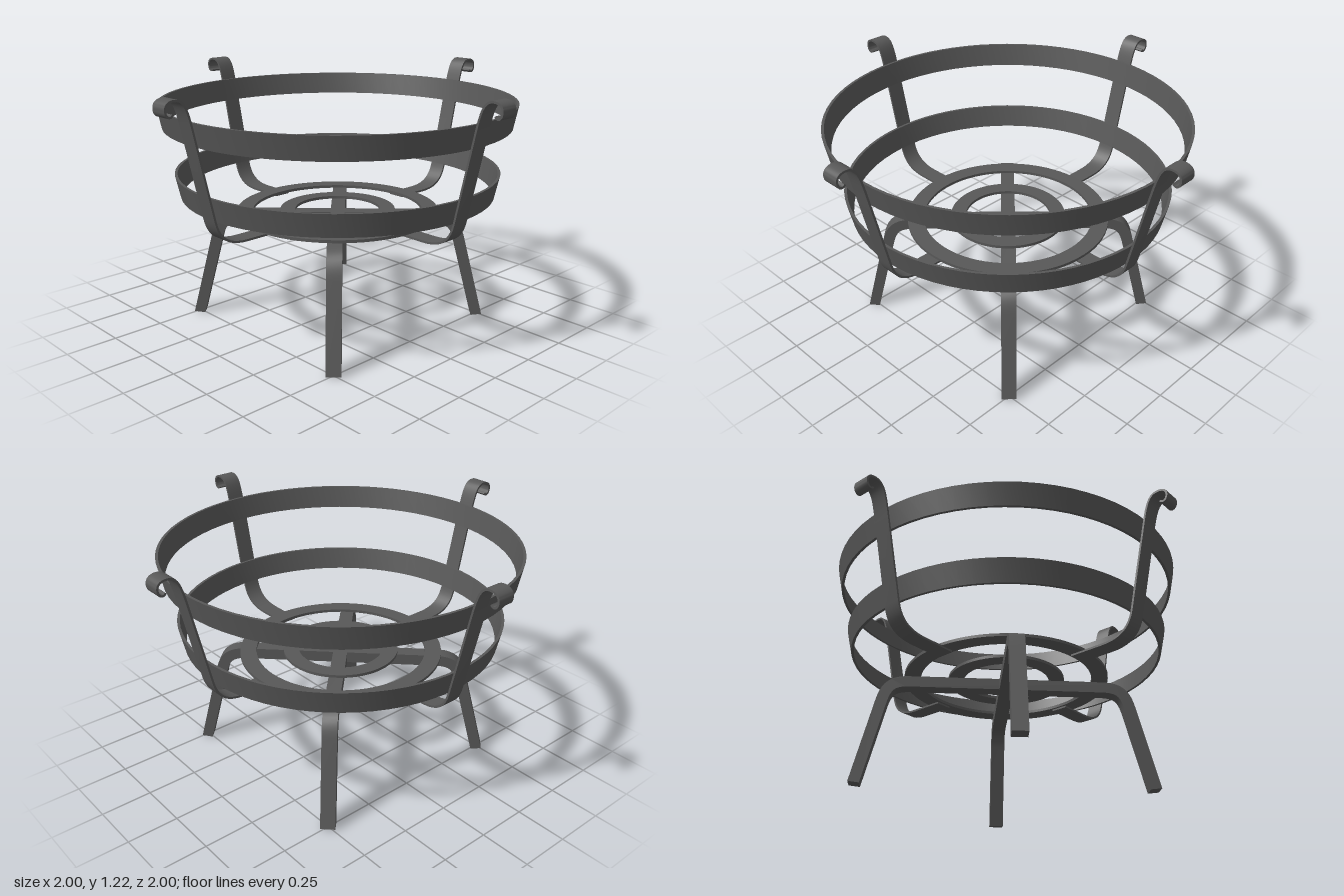
import * as THREE from 'three';
import { toCreasedNormals } from 'three/addons/utils/BufferGeometryUtils.js';

// Flat bar of given thickness and width following a path in the XY plane
function bentBar(path, thickness, width) {
  const pts = path.getPoints(10);
  const outer = [], inner = [];
  pts.forEach((p, i) => {
    const a = pts[Math.max(i - 1, 0)], b = pts[Math.min(i + 1, pts.length - 1)];
    const t = b.clone().sub(a).normalize();
    const n = new THREE.Vector2(-t.y, t.x).multiplyScalar(thickness / 2);
    outer.push(p.clone().add(n));
    inner.push(p.clone().sub(n));
  });
  const outline = [...outer, ...inner.reverse()];
  outline.forEach((p) => { p.y = Math.max(p.y, 0); }); // feet cut level with the ground
  const geo = new THREE.ExtrudeGeometry(new THREE.Shape(outline), { depth: width, bevelEnabled: false });
  geo.translate(0, 0, -width / 2);
  return toCreasedNormals(geo, 0.6);
}

// Closed four-cornered profile turned around the y axis
function ring(r0, y0, r1, y1, thickness) {
  const profile = [
    [r0, y0], [r1, y1], [r1 - thickness, y1], [r0 - thickness, y0], [r0, y0],
  ].map(([x, y]) => new THREE.Vector2(x, y));
  return toCreasedNormals(new THREE.LatheGeometry(profile, 72), 0.6);
}

export function createModel() {
  const group = new THREE.Group();
  const iron = new THREE.MeshStandardMaterial({ color: 0x585858 });
  iron.name = 'dark iron';

  const add = (name, geo, angle = 0) => {
    const mesh = new THREE.Mesh(geo, iron);
    mesh.name = name;
    mesh.rotation.y = angle;
    group.add(mesh);
  };

  // Two crossed arches form the four legs
  const legPath = new THREE.Path();
  legPath.moveTo(-0.708, 0);
  legPath.lineTo(-0.605, 0.41);
  legPath.bezierCurveTo(-0.585, 0.49, -0.555, 0.517, -0.47, 0.517);
  legPath.lineTo(0.47, 0.517);
  legPath.bezierCurveTo(0.555, 0.517, 0.585, 0.49, 0.605, 0.41);
  legPath.lineTo(0.708, 0);
  const legGeo = bentBar(legPath, 0.055, 0.07);
  add('legArchA', legGeo, Math.PI / 4);
  add('legArchB', legGeo, -Math.PI / 4);

  // Flat rings of the grate
  add('outerGrateRing', ring(0.5, 0.544, 0.5, 0.558, 0.08));
  add('innerGrateRing', ring(0.285, 0.544, 0.285, 0.558, 0.075));

  // Basket hoops, flaring outwards
  add('lowerHoop', ring(0.766, 0.66, 0.79, 0.77, 0.013));
  add('upperHoop', ring(0.838, 1.0, 0.86, 1.11, 0.013));

  // Four upright straps with curled ends
  const strapPath = new THREE.Path();
  strapPath.moveTo(0.43, 0.54);
  strapPath.lineTo(0.6, 0.54);
  strapPath.bezierCurveTo(0.7, 0.54, 0.752, 0.575, 0.771, 0.66);
  strapPath.lineTo(0.86, 1.05);
  strapPath.bezierCurveTo(0.887, 1.17, 0.9, 1.215, 0.95, 1.215);
  strapPath.bezierCurveTo(0.98, 1.215, 0.995, 1.2, 0.995, 1.18);
  strapPath.bezierCurveTo(0.995, 1.148, 0.97, 1.14, 0.959, 1.158);
  const strapGeo = bentBar(strapPath, 0.01, 0.086);
  ['left', 'back', 'right', 'front'].forEach((side, i) => add(side + 'Strap', strapGeo, i * Math.PI / 2));

  return group;
}
